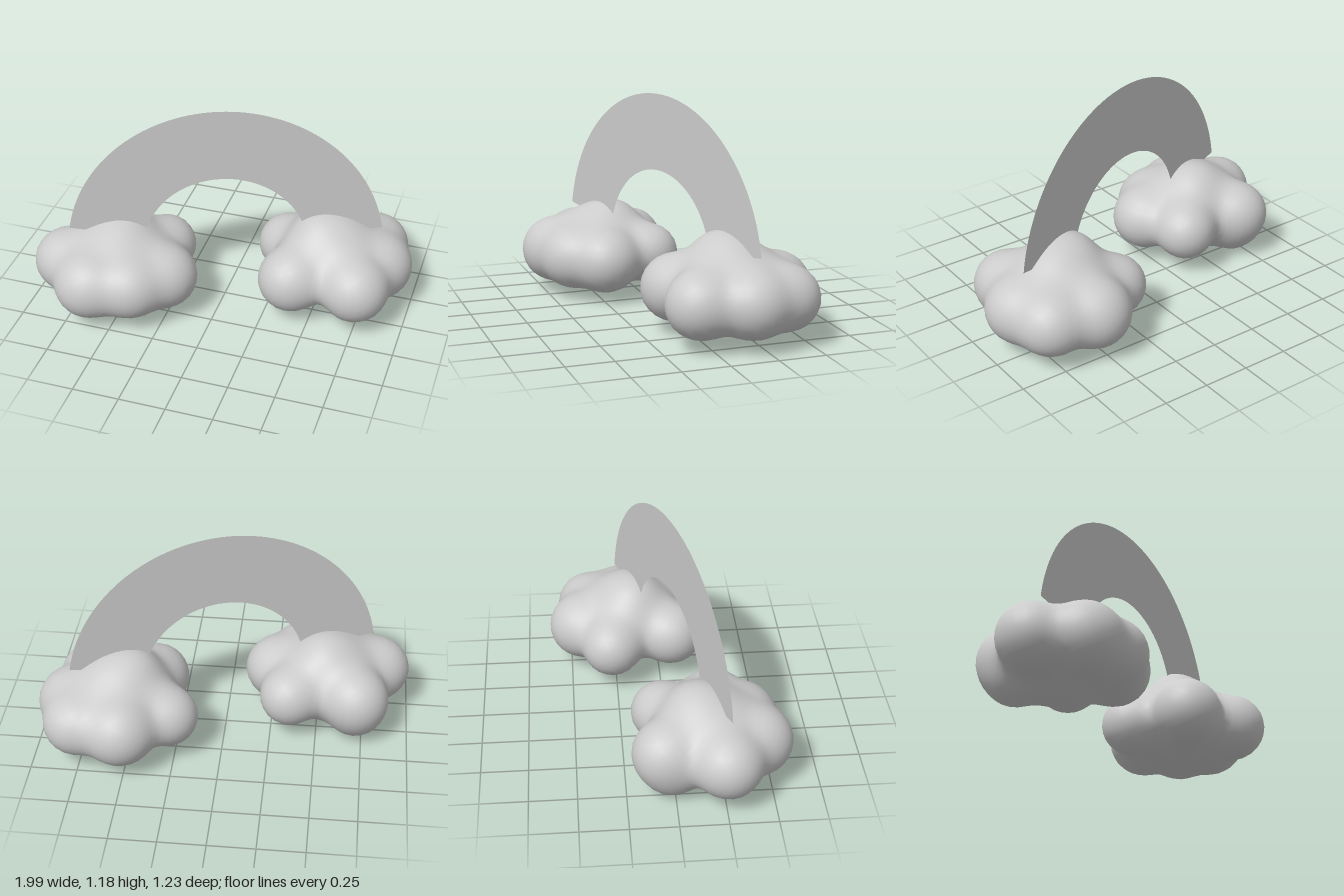
import * as THREE from 'three';
import { mergeVertices } from 'three/addons/utils/BufferGeometryUtils.js';

const BLEND = 0.04;

// Each puff is a tapered arm reaching from the cloud centre: [x, y, z, radius]
function cloudDistance(p, centre, coreRadius, puffs) {
  let sum = 0;
  for (const [x, y, z, r] of puffs) {
    const arm = new THREE.Vector3(x, y, z).sub(centre);
    const rel = p.clone().sub(centre);
    const t = THREE.MathUtils.clamp(rel.dot(arm) / arm.lengthSq(), 0, 1);
    const d = rel.addScaledVector(arm, -t).length() - THREE.MathUtils.lerp(coreRadius, r, t);
    sum += Math.exp(-d / BLEND);
  }
  return -BLEND * Math.log(sum);
}

// Push a sphere's vertices out to the smooth union of the puffs
function makeCloud(name, centre, coreRadius, puffs, material) {
  let geometry = new THREE.IcosahedronGeometry(1, 11);
  geometry.deleteAttribute('uv');
  geometry.deleteAttribute('normal');
  geometry = mergeVertices(geometry, 1e-4);
  const position = geometry.attributes.position;
  const dir = new THREE.Vector3();
  const p = new THREE.Vector3();
  for (let i = 0; i < position.count; i++) {
    dir.fromBufferAttribute(position, i).normalize();
    let near = 0, far = 0.8;
    for (let n = 0; n < 18; n++) {
      const mid = (near + far) / 2;
      p.copy(centre).addScaledVector(dir, mid);
      if (cloudDistance(p, centre, coreRadius, puffs) < 0) near = mid;
      else far = mid;
    }
    p.copy(centre).addScaledVector(dir, near);
    position.setXYZ(i, p.x, p.y, p.z);
  }
  geometry.computeVertexNormals();
  const mesh = new THREE.Mesh(geometry, material);
  mesh.name = name;
  return mesh;
}

export function createModel() {
  const group = new THREE.Group();
  group.name = 'rainbowWithClouds';
  const material = new THREE.MeshStandardMaterial({ color: 0xcccccc });
  const thin = new THREE.MeshStandardMaterial({ color: 0xcccccc, side: THREE.DoubleSide });

  // Flat rainbow band, turned to run from one cloud to the other
  const start = THREE.MathUtils.degToRad(9);
  const band = new THREE.RingGeometry(0.443, 0.85, 64, 1, start, Math.PI - 2 * start);
  const rainbow = new THREE.Mesh(band, thin);
  rainbow.name = 'rainbowArch';
  rainbow.position.set(0.012, 0.332, 0.025);
  rainbow.rotation.y = Math.atan2(0.51, 1.6);
  group.add(rainbow);

  // Cloud at the back, on the model's left: a ring of puffs, then the crown
  group.add(makeCloud('leftCloud', new THREE.Vector3(0.55, 0.285, -0.16), 0.15, [
    [0.52, 0.235, -0.435, 0.182],
    [0.765, 0.24, -0.395, 0.165],
    [0.82, 0.24, -0.19, 0.175],
    [0.74, 0.24, 0.06, 0.175],
    [0.39, 0.24, 0.07, 0.175],
    [0.285, 0.23, -0.27, 0.16],
    [0.49, 0.4, -0.14, 0.125],
    [0.59, 0.37, -0.18, 0.12],
  ], material));

  // Cloud at the front, on the model's right: a ring of puffs, the crown, then the underside
  group.add(makeCloud('rightCloud', new THREE.Vector3(-0.56, 0.26, 0.18), 0.15, [
    [-0.71, 0.245, -0.05, 0.168],
    [-0.35, 0.24, -0.045, 0.158],
    [-0.265, 0.23, 0.23, 0.172],
    [-0.41, 0.235, 0.385, 0.168],
    [-0.63, 0.235, 0.435, 0.178],
    [-0.825, 0.24, 0.26, 0.172],
    [-0.53, 0.37, 0.12, 0.125],
    [-0.71, 0.14, -0.01, 0.125],
    [-0.52, 0.155, 0.14, 0.12],
  ], material));

  return group;
}
